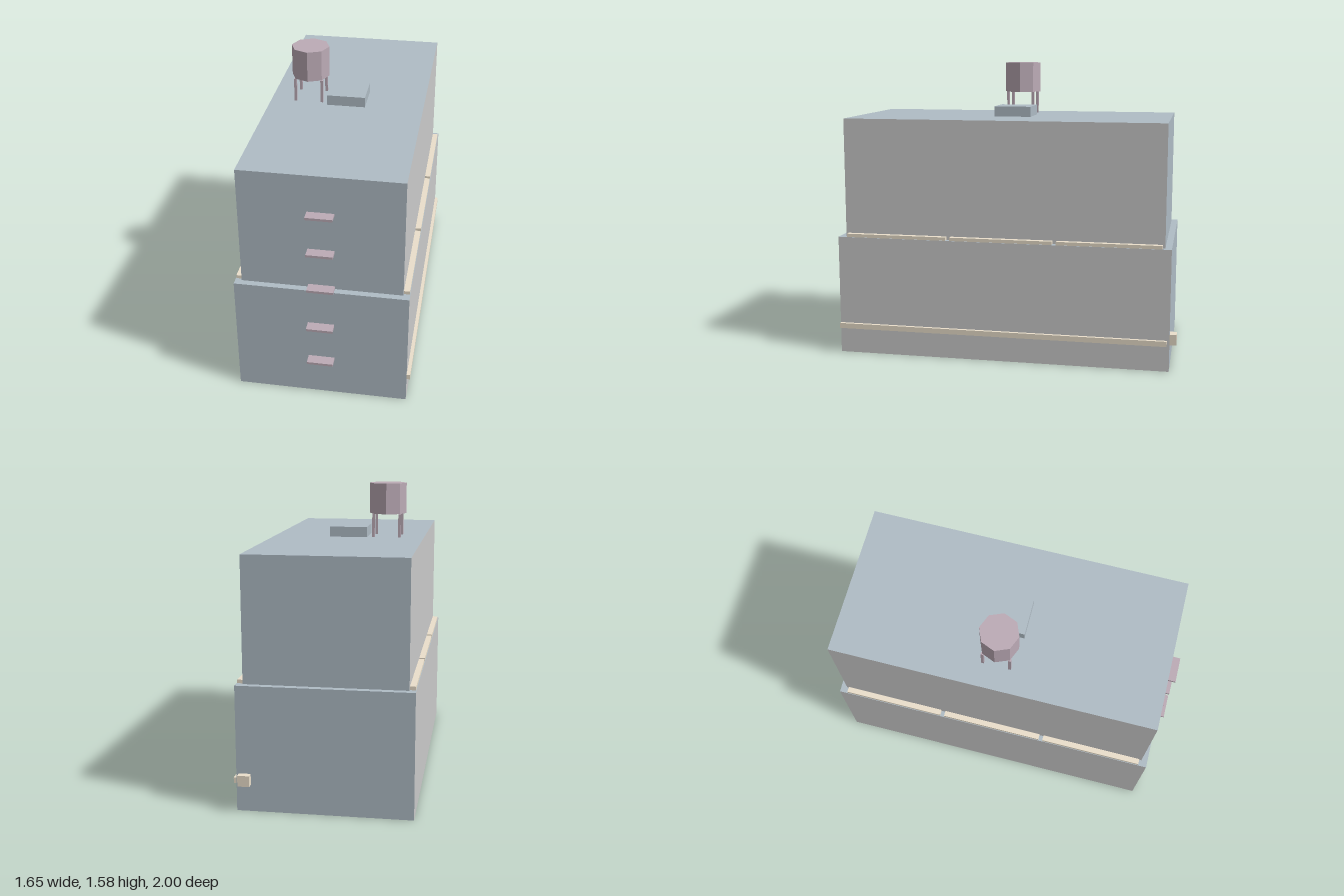
import * as THREE from 'three';

const paint = (color) => new THREE.MeshStandardMaterial({ color, flatShading: true });

export function createModel() {
  const grey = paint(0xcccccc), blue = paint(0xafbcc5), cream = paint(0xeadfcb), mauve = paint(0xbcabb6);
  const model = new THREE.Group();
  model.name = 'building';

  // the whole block stands turned on its plot
  const block = new THREE.Group();
  block.name = 'block';
  block.rotation.y = -THREE.MathUtils.degToRad(28.88);
  block.position.set(-0.006, 0, 0.001);
  model.add(block);

  // box placed by the centre of its base
  function box(name, w, h, d, x, y, z, material, parent = block) {
    const mesh = new THREE.Mesh(new THREE.BoxGeometry(w, h, d), material);
    mesh.name = name;
    mesh.position.set(x, y + h / 2, z);
    parent.add(mesh);
    return mesh;
  }

  // two storeys: grey long walls, blue end walls and roof
  const walls = [grey, grey, blue, grey, blue, blue];
  box('lowerStorey', 0.886, 0.645, 1.79, 0, 0, 0, walls);
  box('upperStorey', 0.82, 0.64, 1.722, 0, 0.645, 0, walls);

  // ledge strips along both long sides, in three lengths with gaps
  for (const side of [-1, 1]) {
    for (const i of [-1, 0, 1]) {
      box('ledgeStrip', 0.03, 0.018, 0.55, side * 0.425, 0.645, i * 0.573, cream);
    }
  }

  // low rail on the left wall and a small box on the back wall
  box('wallRail', 0.018, 0.028, 1.775, 0.452, 0.138, 0.006, cream);
  box('wallBox', 0.06, 0.056, 0.035, 0.4, 0.139, -0.9125, cream);

  // stack of blades on the front end wall
  [0.225, 0.44, 0.655, 0.867, 1.08].forEach((y, i) => {
    const wall = i < 2 ? 0.895 : 0.861;
    box('signBlade', 0.135, 0.013, 0.056, 0, y - 0.0065, wall + 0.028, mauve);
  });

  // roof hatch
  box('roofHatch', 0.203, 0.055, 0.203, 0, 1.285, 0, blue);

  // water tank on four legs
  const tank = new THREE.Group();
  tank.name = 'waterTank';
  tank.position.set(-0.206, 1.285, -0.002);
  block.add(tank);
  const drum = new THREE.Mesh(new THREE.CylinderGeometry(0.101, 0.101, 0.165, 8), mauve);
  drum.name = 'tankDrum';
  drum.position.y = 0.2075;
  tank.add(drum);
  for (const sx of [-1, 1]) {
    for (const sz of [-1, 1]) {
      box('tankLeg', 0.014, 0.125, 0.014, sx * 0.071, 0, sz * 0.071, mauve, tank);
    }
  }

  return model;
}
